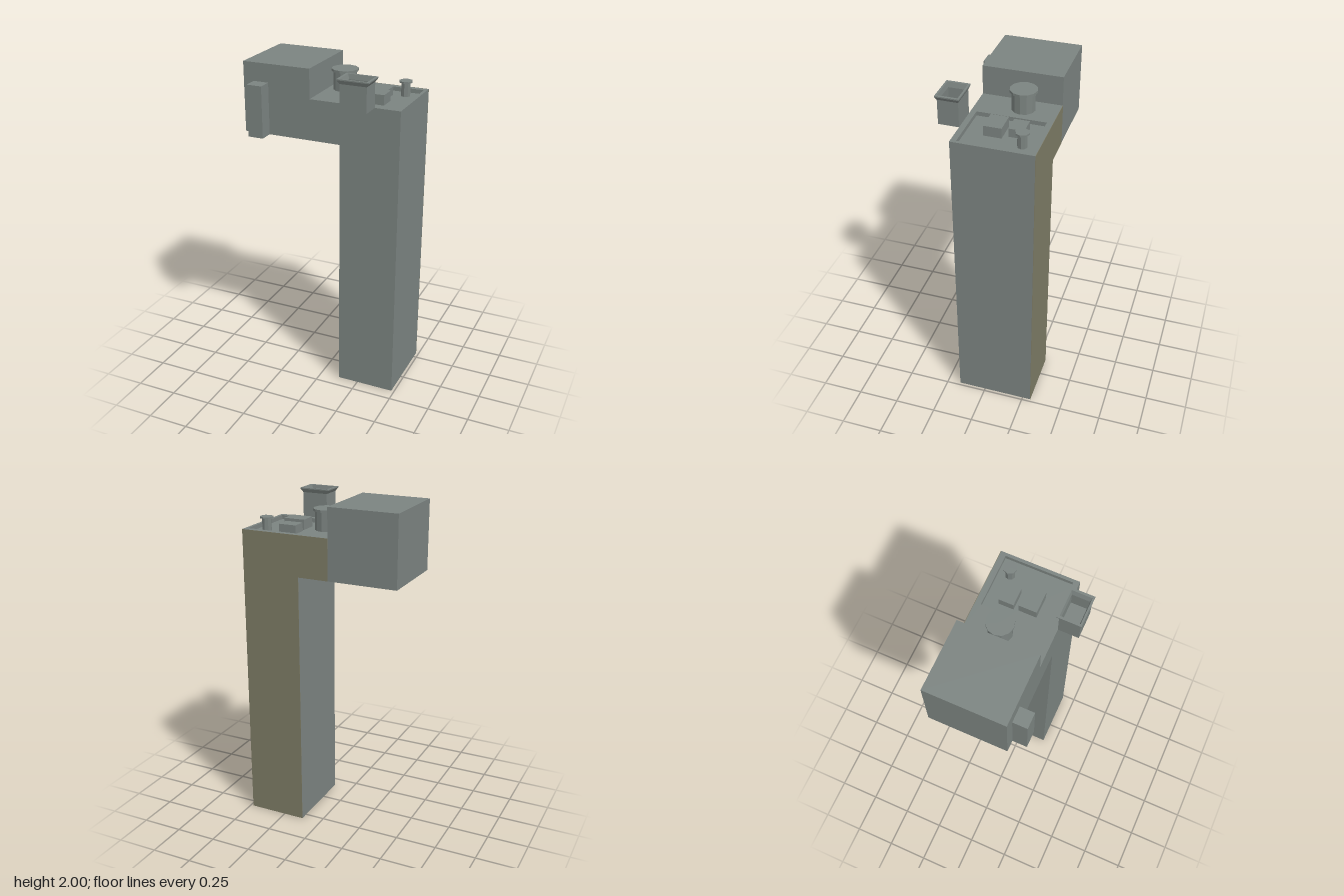
import * as THREE from 'three';

const concrete = new THREE.MeshStandardMaterial({ color: 0x7b8380 });
concrete.name = 'greyConcrete';
const olive = new THREE.MeshStandardMaterial({ color: 0x7d7b65 });
olive.name = 'oliveWall';

const ROOF = 1.825, FLOOR = 1.8, BACK = -0.3, FRONT = 0.169;

const polygon = (pts) => new THREE.Shape(pts.map(([x, y]) => new THREE.Vector2(x, y)));
const rect = (x0, x1, y0, y1) => [[x0, y0], [x1, y0], [x1, y1], [x0, y1]];
const extrude = (shape, depth) => new THREE.ExtrudeGeometry(shape, { depth, bevelEnabled: false });

// Rectangular rings [x half-size, z half-size, y], joined in order and closed at both ends
function rectLoft(rings) {
  const pos = [];
  const corners = rings.map(([w, d, y]) => [[-w, y, d], [w, y, d], [w, y, -d], [-w, y, -d]]);
  const quad = (a, b, c, d) => pos.push(...a, ...b, ...c, ...a, ...c, ...d);
  for (let i = 0; i < corners.length - 1; i++) {
    const lo = corners[i], hi = corners[i + 1];
    for (let k = 0; k < 4; k++) {
      const n = (k + 1) % 4;
      quad(lo[k], lo[n], hi[n], hi[k]);
    }
  }
  const first = corners[0], last = corners[corners.length - 1];
  quad(first[3], first[2], first[1], first[0]);
  quad(last[0], last[1], last[2], last[3]);
  const g = new THREE.BufferGeometry();
  g.setAttribute('position', new THREE.Float32BufferAttribute(pos, 3));
  g.computeVertexNormals();
  return g;
}

export function createModel() {
  const model = new THREE.Group();
  model.name = 'tower';

  const add = (name, geometry, material = concrete, parent = model) => {
    const mesh = new THREE.Mesh(geometry, material);
    mesh.name = name;
    parent.add(mesh);
    return mesh;
  };
  const box = (name, x0, x1, y0, y1, z0, z1) =>
    add(name, new THREE.BoxGeometry(x1 - x0, y1 - y0, z1 - z0))
      .position.set((x0 + x1) / 2, (y0 + y1) / 2, (z0 + z1) / 2);

  // Tower shaft, overhanging arm and raised end block in one profile
  const body = polygon([
    [0.122, 0], [0.482, 0], [0.482, FLOOR], [-0.065, FLOOR],
    [-0.065, 2], [-0.484, 2], [-0.484, 1.58], [0.122, 1.58],
  ]);
  add('towerBody', extrude(body, FRONT - BACK)).position.z = BACK;

  // Roof slab with the sunken service area
  const slab = polygon(rect(-0.065, 0.482, -FRONT, -BACK));
  slab.holes.push(polygon(rect(0.141, 0.463, -0.136, 0.266)));
  const roof = add('roofSlab', extrude(slab, ROOF - FLOOR));
  roof.rotation.x = -Math.PI / 2;
  roof.position.y = FLOOR;

  // Coloured rear wall
  const rear = polygon([
    [0.122, 0], [0.482, 0], [0.482, ROOF], [-0.065, ROOF], [-0.065, 1.58], [0.122, 1.58],
  ]);
  add('rearWall', extrude(rear, 0.002), olive).position.z = BACK - 0.002;

  // Rooftop units and wall cabinet
  box('roofUnitRear', 0.195, 0.303, FLOOR, 1.85, -0.187, -0.099);
  box('roofUnitFront', 0.201, 0.332, FLOOR, 1.86, -0.071, 0.033);
  box('wallCabinet', -0.42, -0.326, 1.58, 1.89, FRONT, 0.254);

  // Capped round vents
  const vent = (name, x, z, sides, r, capR, base, top, capH) => {
    const g = new THREE.Group();
    g.name = name;
    g.position.set(x, 0, z);
    model.add(g);
    const h = top - capH - base;
    const part = (n, radius, height, y) => {
      const geo = new THREE.CylinderGeometry(radius, radius, height, sides).toNonIndexed();
      geo.rotateY(Math.PI / 2);
      geo.computeVertexNormals();
      add(n, geo, concrete, g).position.y = y;
    };
    part(name + 'Pipe', r, h, base + h / 2);
    part(name + 'Cap', capR, capH, top - capH / 2);
  };
  vent('largeVent', 0.035, -0.103, 12, 0.068, 0.079, ROOF, 1.95, 0.014);
  vent('smallVent', 0.376, -0.199, 8, 0.028, 0.04, FLOOR, 1.89, 0.01);

  // Open duct with a flared mouth and recessed floor
  const duct = add('flaredDuct', rectLoft([
    [0.079, 0.06, ROOF], [0.079, 0.06, 1.972], [0.094, 0.069, 1.993], [0.094, 0.069, 2],
    [0.08, 0.058, 2], [0.07, 0.051, 1.972], [0.07, 0.051, 1.88],
  ]));
  duct.position.set(0.251, 0, 0.229);

  return model;
}
